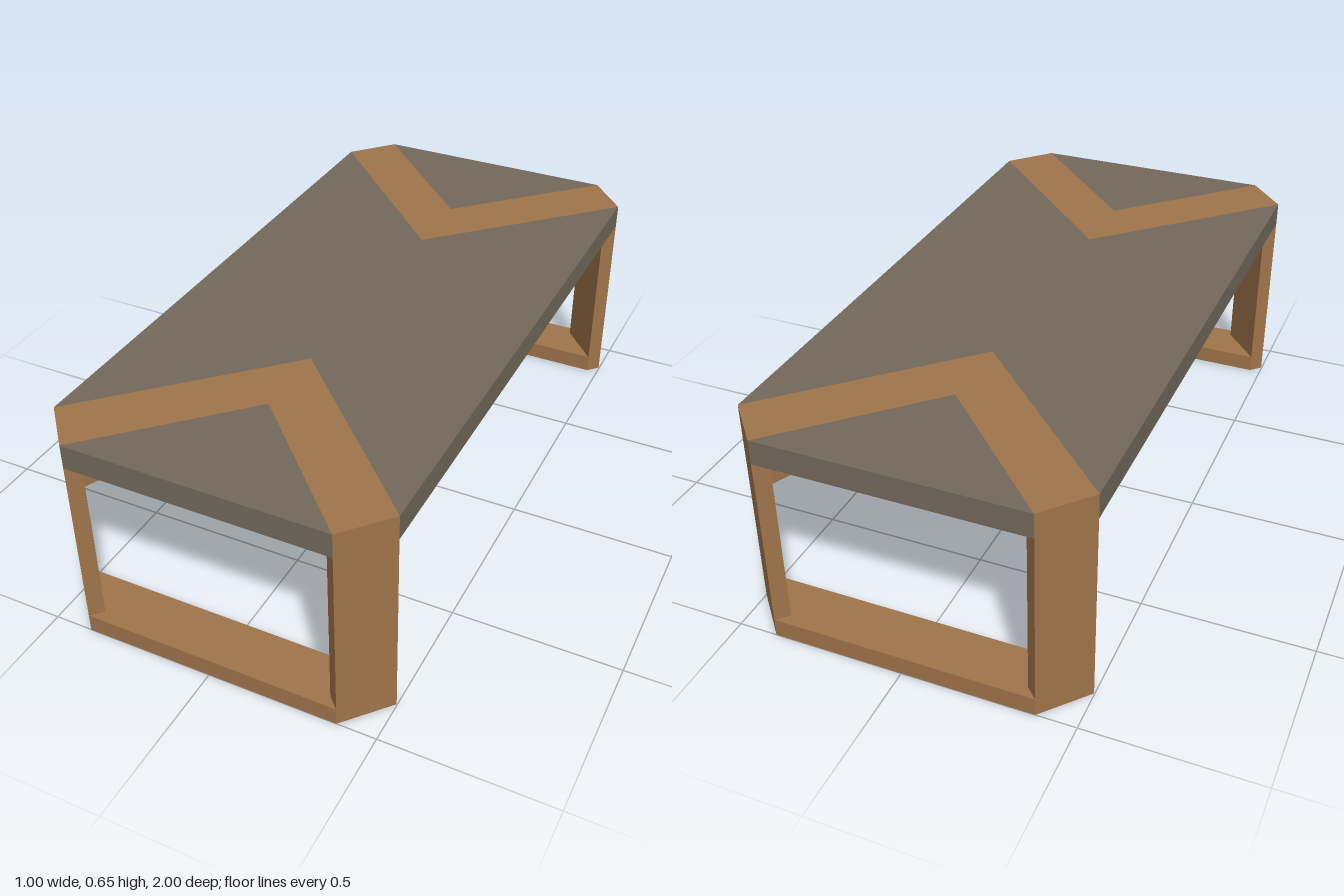
import * as THREE from 'three';

const TOP = 0.65, UNDER = 0.577, RAIL = 0.055;

// Upright prism from a plan outline of [x, z] points
function prism(name, plan, y0, y1, material) {
  const shape = new THREE.Shape(plan.map(([x, z]) => new THREE.Vector2(x, z)));
  const geo = new THREE.ExtrudeGeometry(shape, { depth: y1 - y0, bevelEnabled: false });
  geo.rotateX(Math.PI / 2).translate(0, y1, 0);
  const mesh = new THREE.Mesh(geo, material);
  mesh.name = name;
  return mesh;
}

// Completes an outline by mirroring its +x points to -x
const mirrorX = (pts) => [
  ...pts,
  ...pts.filter(([x]) => x !== 0).reverse().map(([x, z]) => [-x, z]),
];

export function createModel() {
  const wood = new THREE.MeshStandardMaterial({ color: 0xa0744a });
  wood.name = 'warm wood';
  const stone = new THREE.MeshStandardMaterial({ color: 0x736a5c });
  stone.name = 'grey brown panel';

  const table = new THREE.Group();
  table.name = 'coffeeTable';

  // Corner chamfer, notch tips and inner leg corners
  const endPt = [0.385, 1], sidePt = [0.498, 0.873];
  const outerTip = [0, 0.615], innerTip = [0, 0.378];
  const legIn1 = [0.352, 0.968], legIn2 = [0.465, 0.841];

  // Central panel with pointed ends
  table.add(prism('centrePanel', mirrorX([
    innerTip, sidePt, [sidePt[0], -sidePt[1]], [0, -innerTip[1]],
  ]), UNDER, TOP, stone));

  for (const turn of [0, Math.PI]) {
    const end = new THREE.Group();
    end.name = turn ? 'backEnd' : 'frontEnd';
    end.rotation.y = turn;

    // Inlaid chevron and the triangle it encloses
    end.add(prism('chevron', mirrorX([outerTip, endPt, sidePt, innerTip]), UNDER, TOP, wood));
    end.add(prism('endPanel', mirrorX([outerTip, endPt]), UNDER, TOP, stone));

    // Diagonal board legs
    for (const s of [1, -1]) {
      const plan = [endPt, sidePt, legIn2, legIn1].map(([x, z]) => [s * x, z]);
      end.add(prism(s > 0 ? 'leftLeg' : 'rightLeg', plan, RAIL, UNDER, wood));
    }

    // Floor rail joining the legs
    end.add(prism('floorRail', mirrorX([endPt, sidePt, legIn2]), 0, RAIL, wood));
    table.add(end);
  }

  // Crossed beams under the top, running from leg to leg
  const reach = new THREE.Vector2(0.409, 0.904);
  for (const s of [1, -1]) {
    const beam = new THREE.Mesh(
      new THREE.BoxGeometry(0.095, UNDER - 0.478, 2 * reach.length() + 0.05), wood);
    beam.name = 'crossBeam';
    beam.position.y = (UNDER + 0.478) / 2;
    beam.rotation.y = s * Math.atan2(reach.x, reach.y);
    table.add(beam);
  }
  return table;
}
